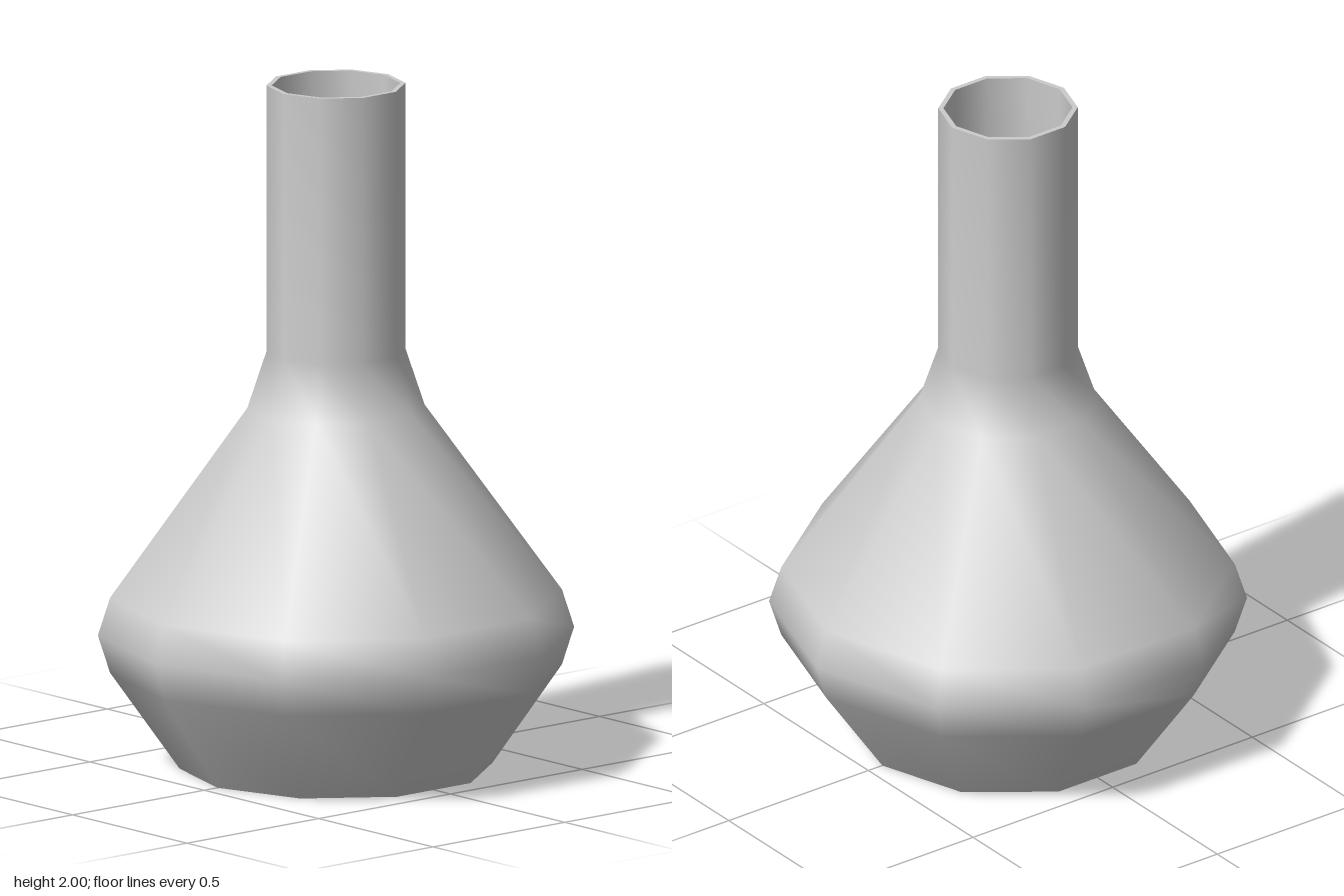
import * as THREE from 'three';

const SIDES = 10;

// Ten-sided turned surface; points run [radius, height]
function turned(name, points, material) {
  const profile = points.map(([r, y]) => new THREE.Vector2(r, y));
  const mesh = new THREE.Mesh(new THREE.LatheGeometry(profile, SIDES), material);
  mesh.name = name;
  return mesh;
}

export function createModel() {
  const flask = new THREE.Group();
  flask.name = 'flask';
  const grey = new THREE.MeshStandardMaterial({ color: 0xcccccc });
  const red = new THREE.MeshStandardMaterial({ color: 0xe01010 });

  const wall = 0.015;
  const outer = [
    [0.45, 0], [0.65, 0.285], [0.685, 0.395], [0.65, 0.505],
    [0.255, 1.055], [0.2, 1.22], [0.2, 2],
  ];
  const inner = outer.map(([r, y], i) => [r - wall, i === 0 ? wall : y]);

  // Body: outer wall, inner wall, rim and base, split so their edges stay sharp
  flask.add(turned('outerWall', outer, grey));
  flask.add(turned('innerWall', [...inner].reverse(), grey));
  flask.add(turned('rim', [[0.2, 2], [0.2 - wall, 2]], grey));
  flask.add(turned('base', [[0, 0], [0.45, 0]], grey));

  // Liquid filling the bulb, with a slightly dished surface
  const level = 0.505;
  const fill = inner.slice(0, 4).map(([r, y]) => [r - 0.005, y + 0.002]);
  flask.add(turned('liquidBody', [[0, fill[0][1]], ...fill], red));
  flask.add(turned('liquidSurface',
    [[fill[3][0], level], [0.3, level - 0.02], [0.12, level - 0.04], [0, level - 0.045]], red));

  return flask;
}
